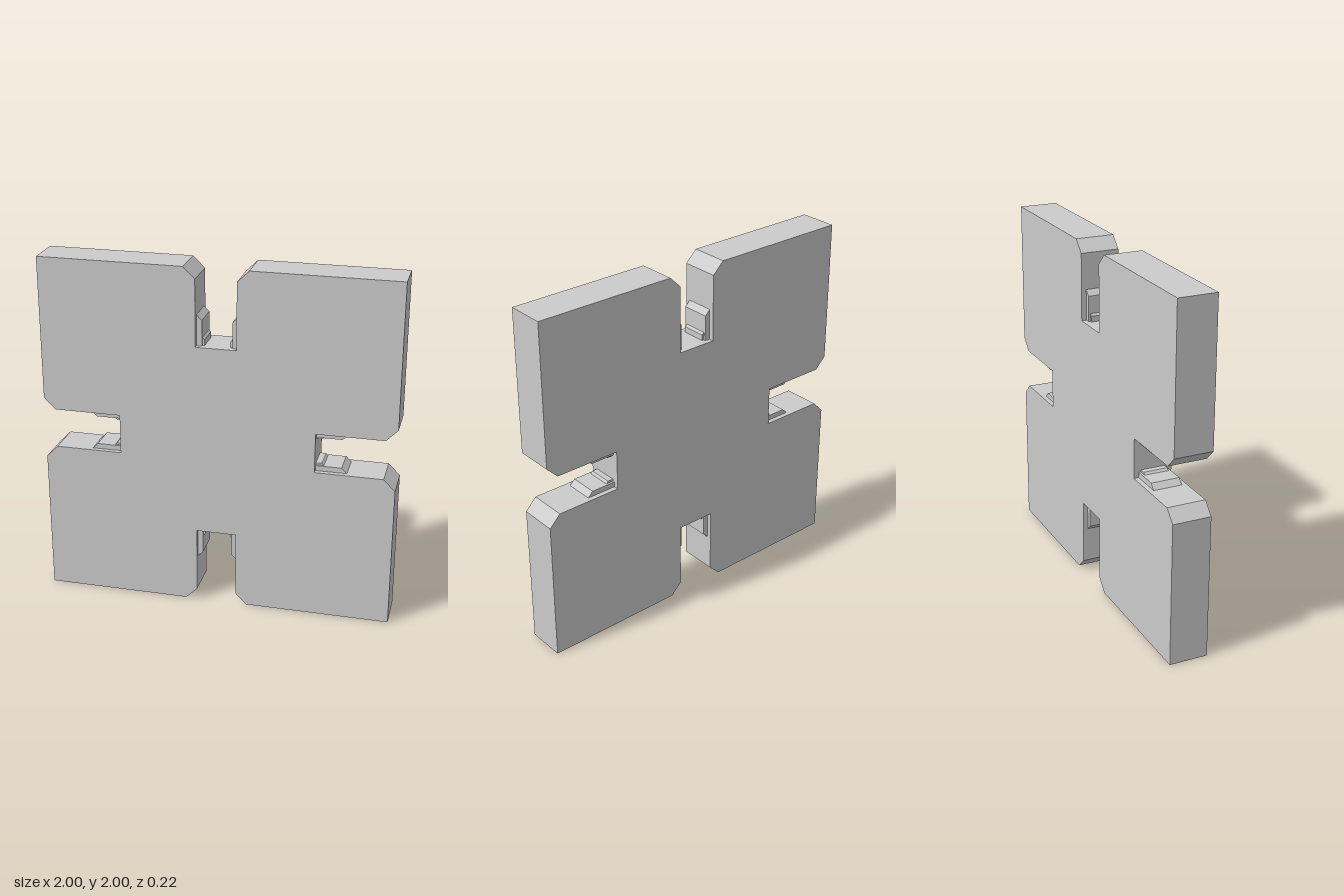
import * as THREE from 'three';

const SLOT = 0.114, FLOOR = 0.555, HALF = 1;
const CHAMFER_W = 0.18, CHAMFER_R = 0.935;

// Extrudes a list of [x, y] corners, centred on z = 0
function slab(points, depth) {
  const shape = new THREE.Shape(points.map(([x, y]) => new THREE.Vector2(x, y)));
  return new THREE.ExtrudeGeometry(shape, { depth, bevelEnabled: false }).translate(0, 0, -depth / 2);
}

export function createModel() {
  const model = new THREE.Group();
  model.name = 'slottedConnectorPlate';
  const material = new THREE.MeshStandardMaterial({ color: 0xcccccc, flatShading: true });
  const body = new THREE.Group();
  body.name = 'body';
  body.position.y = 1;
  model.add(body);

  // Square plate outline: one chamfered slot and one corner per quarter turn
  const side = [
    [HALF, -CHAMFER_W], [CHAMFER_R, -SLOT], [FLOOR, -SLOT],
    [FLOOR, SLOT], [CHAMFER_R, SLOT], [HALF, CHAMFER_W], [HALF, HALF],
  ];
  const outline = [];
  for (let k = 0; k < 4; k++) {
    const c = Math.round(Math.cos(k * Math.PI / 2)), s = Math.round(Math.sin(k * Math.PI / 2));
    for (const [x, y] of side) outline.push([x * c - y * s, x * s + y * c]);
  }
  const plate = new THREE.Mesh(slab(outline, 0.22), material);
  plate.name = 'plate';
  body.add(plate);

  // Stepped grip on a slot wall: a ramped pad with a smaller step by the slot floor
  const pad = slab([[FLOOR, -SLOT], [0.73, -SLOT], [0.7, -0.084], [FLOOR, -0.084]], 0.164);
  const step = slab([[FLOOR, -0.084], [0.6, -0.084], [0.588, -0.072], [FLOOR, -0.072]], 0.14);

  for (let k = 0; k < 4; k++) {
    const slot = new THREE.Group();
    slot.name = 'slotGrips';
    slot.rotation.z = k * Math.PI / 2;
    for (const flip of [0, Math.PI]) {
      const grip = new THREE.Group();
      grip.name = 'grip';
      grip.rotation.x = flip;
      const padMesh = new THREE.Mesh(pad, material);
      padMesh.name = 'gripPad';
      const stepMesh = new THREE.Mesh(step, material);
      stepMesh.name = 'gripStep';
      grip.add(padMesh, stepMesh);
      slot.add(grip);
    }
    body.add(slot);
  }
  return model;
}
